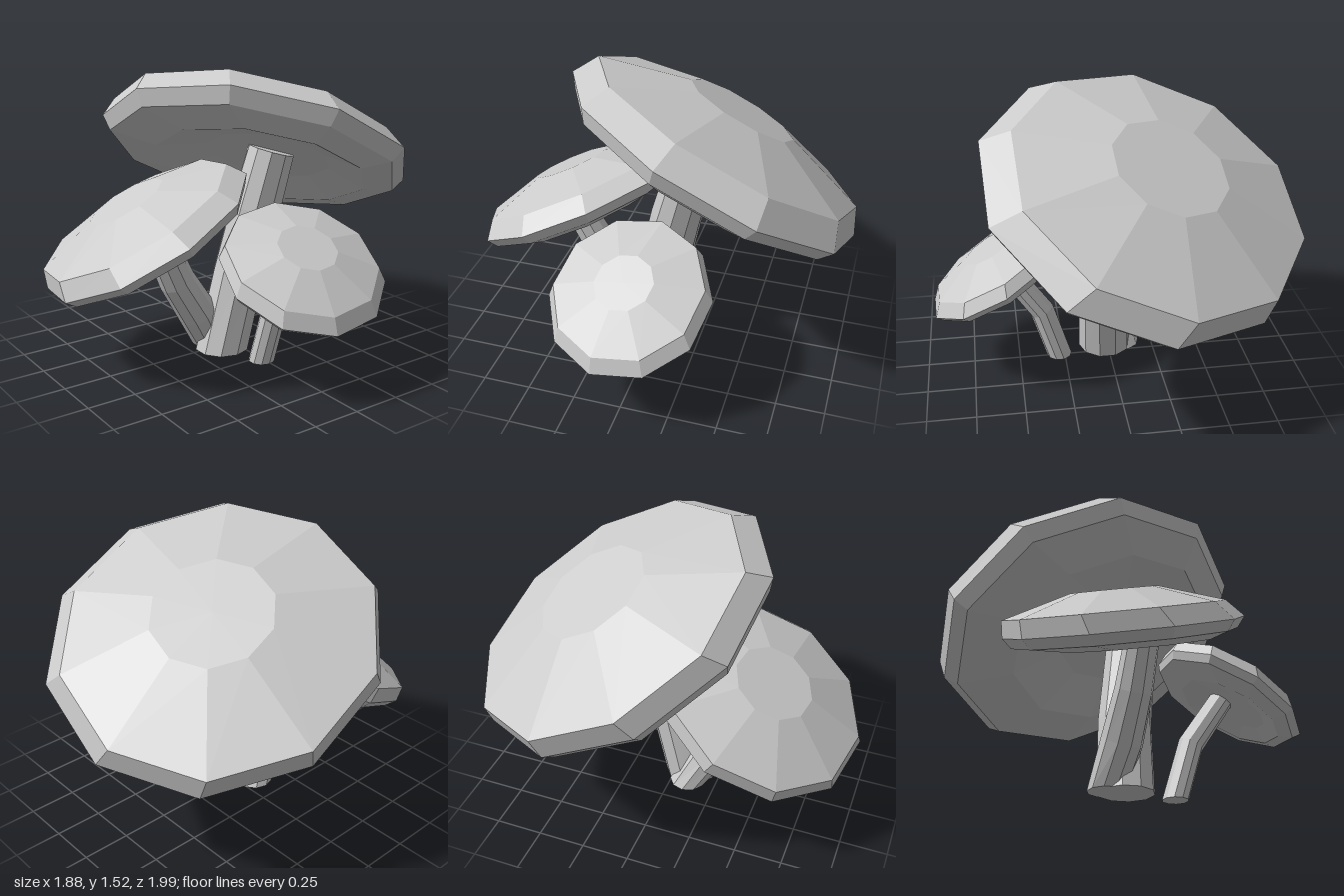
import * as THREE from 'three';

const SIDES = 10;
const UP = new THREE.Vector3(0, 1, 0);
const material = new THREE.MeshStandardMaterial({ color: 0xcccccc, flatShading: true });

// Cap outline from the stem seat on the underside out round the rim to the flat top:
// [radius, height, sideways drift]
const CAP_PROFILE = [
  [0.33, -0.19, 0.19], [0.57, -0.25, 0.14], [0.79, -0.2, 0.06],
  [0.845, -0.125, 0.06], [0.778, 0, 0], [0.305, 0.14, 0.015],
];

// One ring of points lying in the local xz plane
function ring(radius, height = 0, drift = 0, phase = 0) {
  return Array.from({ length: SIDES }, (_, k) => {
    const a = phase + (k / SIDES) * Math.PI * 2;
    return new THREE.Vector3(radius * Math.cos(a) + drift, height, radius * Math.sin(a));
  });
}

// Skin a stack of rings (bottom to top) and close both ends
function loft(rings) {
  const pos = [];
  const tri = (...pts) => pts.forEach((p) => pos.push(p.x, p.y, p.z));
  const middle = (r) => r.reduce((s, p) => s.add(p), new THREE.Vector3()).divideScalar(SIDES);
  const first = rings[0], last = rings[rings.length - 1];
  const bottom = middle(first), top = middle(last);
  for (let k = 0; k < SIDES; k++) {
    const n = (k + 1) % SIDES;
    for (let i = 0; i < rings.length - 1; i++) {
      const lo = rings[i], hi = rings[i + 1];
      tri(lo[k], hi[k], lo[n]);
      tri(lo[n], hi[k], hi[n]);
    }
    tri(bottom, first[k], first[n]);
    tri(top, last[n], last[k]);
  }
  const geo = new THREE.BufferGeometry();
  geo.setAttribute('position', new THREE.Float32BufferAttribute(pos, 3));
  geo.computeVertexNormals();
  return geo;
}

// Tilted cap; center is the middle of the upper rim
function makeCap({ center, normal, scale, phase }) {
  const cap = new THREE.Mesh(
    loft(CAP_PROFILE.map(([r, h, d]) => ring(r, h, d, THREE.MathUtils.degToRad(phase)))), material);
  cap.name = 'cap';
  cap.scale.setScalar(scale);
  cap.quaternion.setFromUnitVectors(UP, new THREE.Vector3(...normal).normalize());
  cap.position.set(...center);
  return cap;
}

// Bent stem: level at the ground, square to its path above
function makeStem({ path, radii }) {
  const pts = path.map((p) => new THREE.Vector3(...p));
  const rings = pts.map((p, i) => {
    const next = pts[Math.min(i + 1, pts.length - 1)];
    const dir = i === 0 ? UP : next.clone().sub(pts[i - 1]).normalize();
    const q = new THREE.Quaternion().setFromUnitVectors(UP, dir);
    return ring(radii[i]).map((v) => v.applyQuaternion(q).add(p));
  });
  const stem = new THREE.Mesh(loft(rings), material);
  stem.name = 'stem';
  return stem;
}

const MUSHROOMS = [
  {
    name: 'largeMushroom',
    cap: { center: [-0.22, 1.125, -0.295], normal: [-0.296, 0.856, -0.423], scale: 1, phase: 11.5 },
    stem: {
      path: [[0.015, 0, 0.08], [0.03, 0.4, -0.02], [0.07, 0.76, -0.1], [0.1, 1.07, -0.18]],
      radii: [0.145, 0.14, 0.135, 0.125],
    },
  },
  {
    name: 'frontMushroom',
    cap: { center: [-0.128, 0.766, 0.515], normal: [-0.183, 0.873, 0.451], scale: 0.69, phase: 9 },
    stem: {
      path: [[-0.08, 0, 0.09], [-0.03, 0.22, 0.21], [0, 0.43, 0.35], [0.02, 0.66, 0.46]],
      radii: [0.1, 0.105, 0.095, 0.085],
    },
  },
  {
    name: 'sideMushroom',
    cap: { center: [0.59, 0.645, 0], normal: [0.48, 0.86, 0.08], scale: 0.495, phase: 13 },
    stem: {
      path: [[0.28, 0, 0.01], [0.37, 0.3, 0], [0.55, 0.57, -0.01]],
      radii: [0.068, 0.066, 0.062],
    },
  },
];

export function createModel() {
  const model = new THREE.Group();
  model.name = 'mushroomCluster';
  for (const { name, cap, stem } of MUSHROOMS) {
    const mushroom = new THREE.Group();
    mushroom.name = name;
    mushroom.add(makeCap(cap), makeStem(stem));
    model.add(mushroom);
  }
  return model;
}
